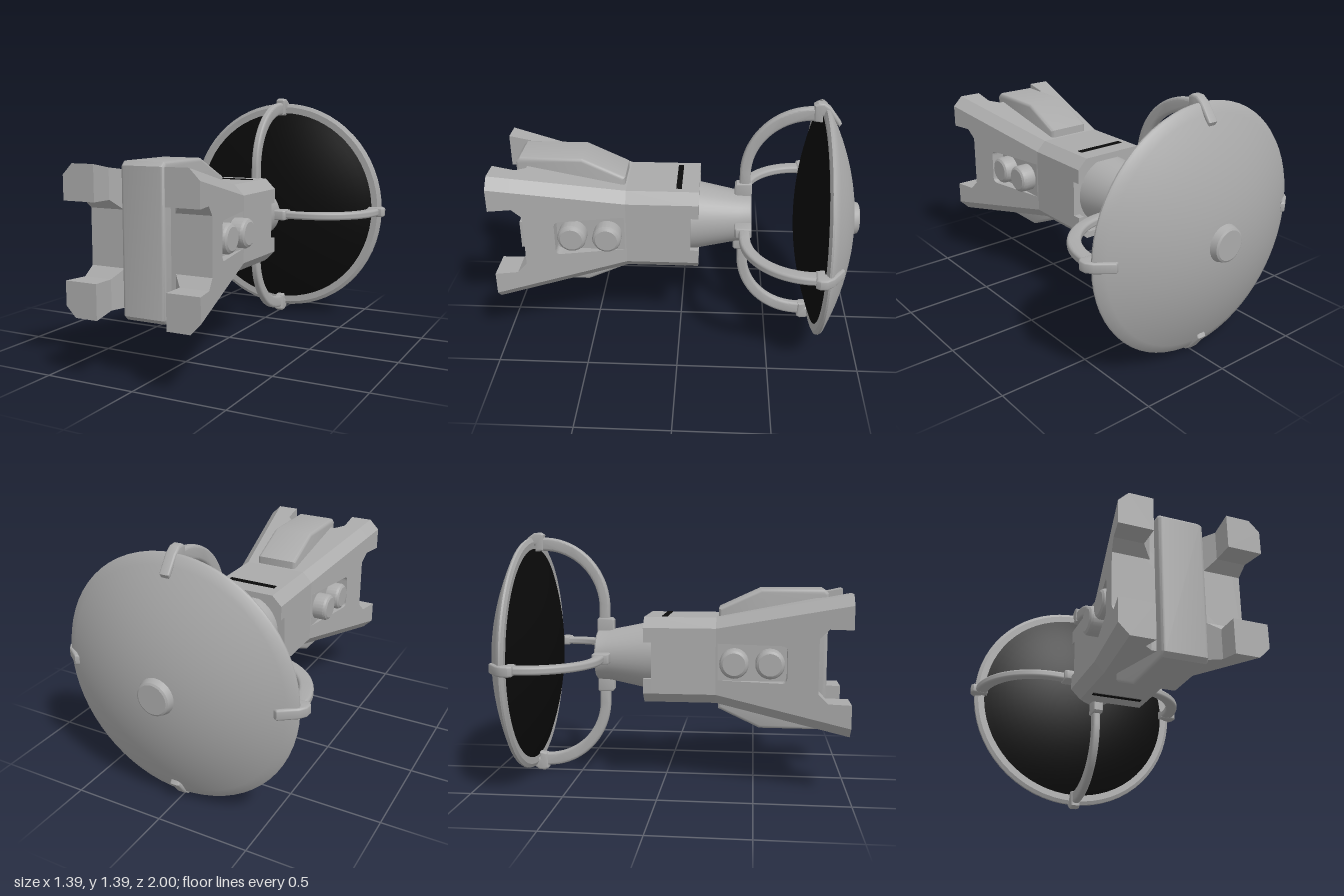
import * as THREE from 'three';
import { toCreasedNormals } from 'three/addons/utils/BufferGeometryUtils.js';

const grey = new THREE.MeshStandardMaterial({ color: 0xaaaaaa, side: THREE.DoubleSide });
grey.name = 'grey metal';
const black = new THREE.MeshStandardMaterial({ color: 0x0a0a0a });
black.name = 'black';

const C = 0.055; // corner chamfer of the body
const halfWidth = z => 0.235 + Math.max(0, z - 0.29) * 0.14 / 0.71;
const V = pts => pts.map(p => new THREE.Vector2(p[0], p[1]));

export function createModel() {
  const root = new THREE.Group();
  root.name = 'dishDevice';
  const model = new THREE.Group();
  model.name = 'assembly';
  model.position.y = 0.6925;
  root.add(model);

  const add = (name, geo, mat = grey, turn = 0) => {
    const m = new THREE.Mesh(geo, mat);
    m.name = name;
    m.rotation.z = turn;
    model.add(m);
    return m;
  };
  // Lathe around the z axis; profile points are [radius, z], from back to front
  const lathe = (pts, seg = 64, crease = 0.5) =>
    toCreasedNormals(new THREE.LatheGeometry(V(pts), seg).rotateX(Math.PI / 2), crease);
  // Extrude centred on its thickness, with a small bevel
  const slab = (shape, width, bevel, curve = 24) => {
    const g = new THREE.ExtrudeGeometry(shape, {
      depth: width - 2 * bevel, bevelSize: bevel, bevelThickness: bevel,
      bevelOffset: -bevel, bevelSegments: 3, curveSegments: curve,
    });
    return toCreasedNormals(g.translate(0, 0, bevel - width / 2), 0.6);
  };
  // Flat-faced loft through convex sections, each [z, [[x, y], ...]]
  const loft = (sections, skip = () => false) => {
    const pos = [];
    const tri = (...p) => p.forEach(q => pos.push(...q));
    const rings = sections.map(([z, pts]) => pts.map(p => [p[0], p[1], z]));
    const n = rings[0].length;
    for (let s = 0; s + 1 < rings.length; s++) {
      for (let i = 0; i < n; i++) {
        if (skip(s, i)) continue;
        const j = (i + 1) % n, a = rings[s], b = rings[s + 1];
        tri(a[i], a[j], b[j]);
        tri(a[i], b[j], b[i]);
      }
    }
    const first = rings[0], last = rings[rings.length - 1];
    for (let i = 1; i < n - 1; i++) {
      tri(first[0], first[i + 1], first[i]);
      tri(last[0], last[i], last[i + 1]);
    }
    const g = new THREE.BufferGeometry();
    g.setAttribute('position', new THREE.Float32BufferAttribute(pos, 3));
    g.computeVertexNormals();
    return g;
  };

  // Chamfered body, flaring to the front; flared side faces are added below
  const octagon = z => {
    const X = halfWidth(z), k = X - C;
    return [z, [[X, -k], [X, k], [k, X], [-k, X], [-X, k], [-X, -k], [-k, -X], [k, -X]]];
  };
  add('body', loft([-0.06, 0.29, 0.83].map(octagon), (s, i) => s === 1 && i % 4 === 0));

  // Four corner prongs at the front
  const prong = loft([[0.83, 0.145], [0.88, 0.195], [1, 0.195]].map(([z, i]) => {
    const X = halfWidth(z);
    return [z, [[i, i], [X, i], [X, X - C], [X - C, X], [i, X]]];
  }));
  for (let k = 0; k < 4; k++) add('frontProng', prong, grey, k * Math.PI / 2);

  // Side faces with a recessed panel and two round knobs
  const recess = new THREE.Shape();
  recess.moveTo(-0.3, -0.1).lineTo(-0.3, 0.1).lineTo(-0.64, 0.1);
  recess.quadraticCurveTo(-0.67, 0.1, -0.67, 0.07).lineTo(-0.67, -0.07);
  recess.quadraticCurveTo(-0.67, -0.1, -0.64, -0.1).lineTo(-0.3, -0.1);
  const [h0, h1] = [halfWidth(0.29) - C, halfWidth(0.83) - C];
  const wall = new THREE.Shape(V([[-0.83, -h1], [-0.29, -h0], [-0.29, h0], [-0.83, h1]]));
  wall.holes.push(recess);
  const project = (g, xOf) => {
    const p = g.attributes.position;
    for (let i = 0; i < p.count; i++) {
      const u = p.getX(i);
      p.setXYZ(i, xOf(-u), p.getY(i), -u);
    }
    g.computeVertexNormals();
    return g;
  };
  const wallGeo = project(new THREE.ShapeGeometry(wall, 6), halfWidth);
  const floorGeo = project(new THREE.ShapeGeometry(recess, 6), () => 0.237);
  const edge = recess.getPoints(6);
  const edgePos = [];
  for (let i = 0; i + 1 < edge.length; i++) {
    const [a, b] = [edge[i], edge[i + 1]];
    const [A, B] = [a, b].map(p => [halfWidth(-p.x), p.y, -p.x]);
    const [D, E] = [a, b].map(p => [0.237, p.y, -p.x]);
    edgePos.push(...A, ...B, ...E, ...A, ...E, ...D);
  }
  const edgeGeo = new THREE.BufferGeometry();
  edgeGeo.setAttribute('position', new THREE.Float32BufferAttribute(edgePos, 3));
  edgeGeo.computeVertexNormals();
  const knobGeo = lathe([[0.078, 0.23], [0.078, 0.3], [0.072, 0.312], [0.06, 0.32], [0, 0.32]], 24)
    .rotateY(Math.PI / 2);
  for (const turn of [0, Math.PI]) {
    add('sideWall', wallGeo, grey, turn);
    add('recessFloor', floorGeo, grey, turn);
    add('recessEdge', edgeGeo, grey, turn);
    for (const z of [0.39, 0.58]) add('sideKnob', knobGeo, grey, turn).position.z = z;
  }

  // Rear lips above and below the neck, and black slots
  const lip = new THREE.Shape(V([[0.235, 0.1], [0.235, 0.18], [0.18, 0.235], [-0.18, 0.235],
    [-0.235, 0.18], [-0.235, 0.1], [-0.2, 0.1], [-0.2, 0.165], [-0.165, 0.2],
    [0.165, 0.2], [0.2, 0.165], [0.2, 0.1]]));
  const lipGeo = new THREE.ExtrudeGeometry(lip, { depth: 0.045, bevelEnabled: false }).translate(0, 0, -0.105);
  const slotGeo = new THREE.BoxGeometry(0.285, 0.008, 0.03).translate(0, 0.235, 0.005);
  for (const turn of [0, Math.PI]) {
    add('rearLip', lipGeo, grey, turn);
    add('slot', slotGeo, black, turn);
  }

  // Tall central block
  const block = new THREE.Shape(V([[0.3, -0.28], [0.53, -0.387], [0.87, -0.387], [0.892, -0.365],
    [0.892, 0.365], [0.87, 0.387], [0.53, 0.387], [0.3, 0.28]]));
  add('centralBlock', slab(block, 0.24, 0.018).rotateY(-Math.PI / 2));

  // Tapered neck
  add('neck', lathe([[0, -0.395], [0.135, -0.395], [0.142, -0.388], [0.145, -0.32], [0.19, -0.1], [0.195, -0.055]], 40));

  // Dish: domed back, narrow rim, black domed front
  const arc = (r, z0, z1, n, t0, t1) => Array.from({ length: n + 1 }, (_, i) => {
    const t = t0 + (t1 - t0) * i / n;
    return [r * t, z0 + (z1 - z0) * t * t];
  });
  add('dishBack', lathe([...arc(0.655, -0.965, -0.785, 14, 0, 1), [0.662, -0.775], [0.66, -0.765],
    [0.64, -0.755], [0.6, -0.757]]));
  add('dishFace', lathe(arc(0.602, -0.642, -0.757, 14, 1, 0)), black);
  add('dishHub', lathe([[0, -1], [0.078, -1], [0.088, -0.994], [0.1, -0.955]], 24));

  // Four curved arms with sockets at the neck and clips on the rim
  const arm = new THREE.Shape();
  arm.moveTo(0.17, -0.385).lineTo(0.27, -0.385);
  arm.absarc(0.27, -0.705, 0.32, Math.PI / 2, 0, true);
  arm.lineTo(0.59, -0.74).lineTo(0.665, -0.74).lineTo(0.665, -0.705);
  arm.absellipse(0.27, -0.705, 0.395, 0.38, 0, Math.PI / 2, false);
  arm.lineTo(0.17, -0.325);
  const socket = new THREE.Shape(V([[0.12, -0.395], [0.205, -0.395], [0.212, -0.388],
    [0.212, -0.31], [0.2, -0.3], [0.12, -0.3]]));
  const clip = new THREE.Shape(V([[0.59, -0.705], [0.68, -0.7], [0.693, -0.72], [0.69, -0.755],
    [0.665, -0.79], [0.58, -0.852], [0.56, -0.84], [0.62, -0.79], [0.62, -0.75], [0.585, -0.75]]));
  const armGeo = slab(arm, 0.044, 0.014).rotateX(Math.PI / 2);
  const socketGeo = slab(socket, 0.058, 0.008).rotateX(Math.PI / 2);
  const clipGeo = slab(clip, 0.056, 0.01).rotateX(Math.PI / 2);
  for (let k = 0; k < 4; k++) {
    const turn = k * Math.PI / 2;
    add('dishArm', armGeo, grey, turn);
    add('armSocket', socketGeo, grey, turn);
    add('rimClip', clipGeo, grey, turn);
  }
  return root;
}
